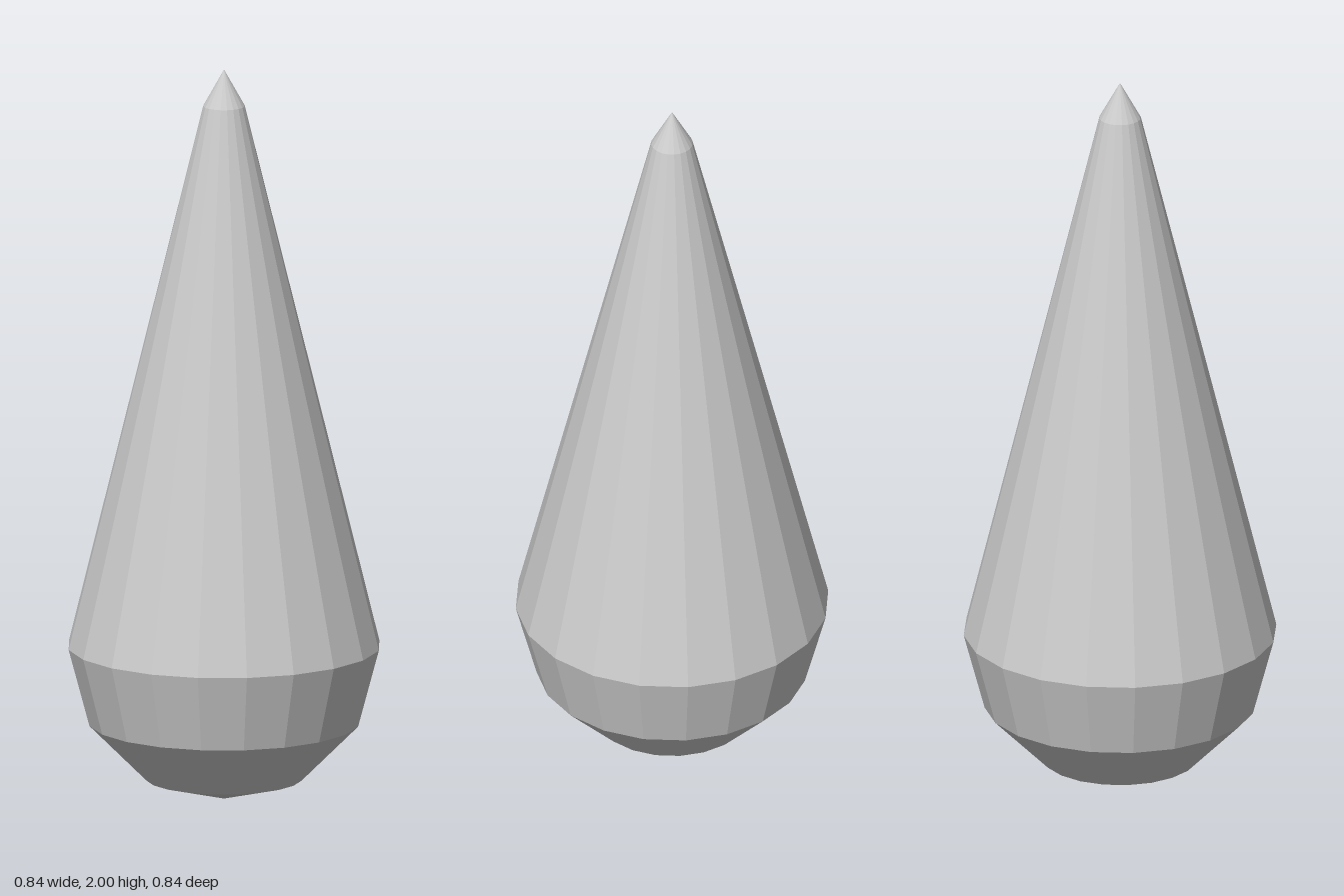
import * as THREE from 'three';

export function createModel() {
  const group = new THREE.Group();
  const material = new THREE.MeshStandardMaterial({ color: 0xcccccc, flatShading: true });
  const sides = 20;
  const radius = 0.421;
  const profile = [];

  // Rounded base: a coarse quarter circle in 30 degree steps
  for (let i = 0; i <= 3; i++) {
    const a = (i * Math.PI) / 6;
    profile.push(new THREE.Vector2(radius * Math.sin(a), radius * (1 - Math.cos(a))));
  }
  // Long tapering body, then a blunter point
  profile.push(new THREE.Vector2(0.056, 1.9), new THREE.Vector2(0, 2));

  const drop = new THREE.Mesh(new THREE.LatheGeometry(profile, sides), material);
  drop.name = 'teardropBody';
  group.add(drop);
  return group;
}
